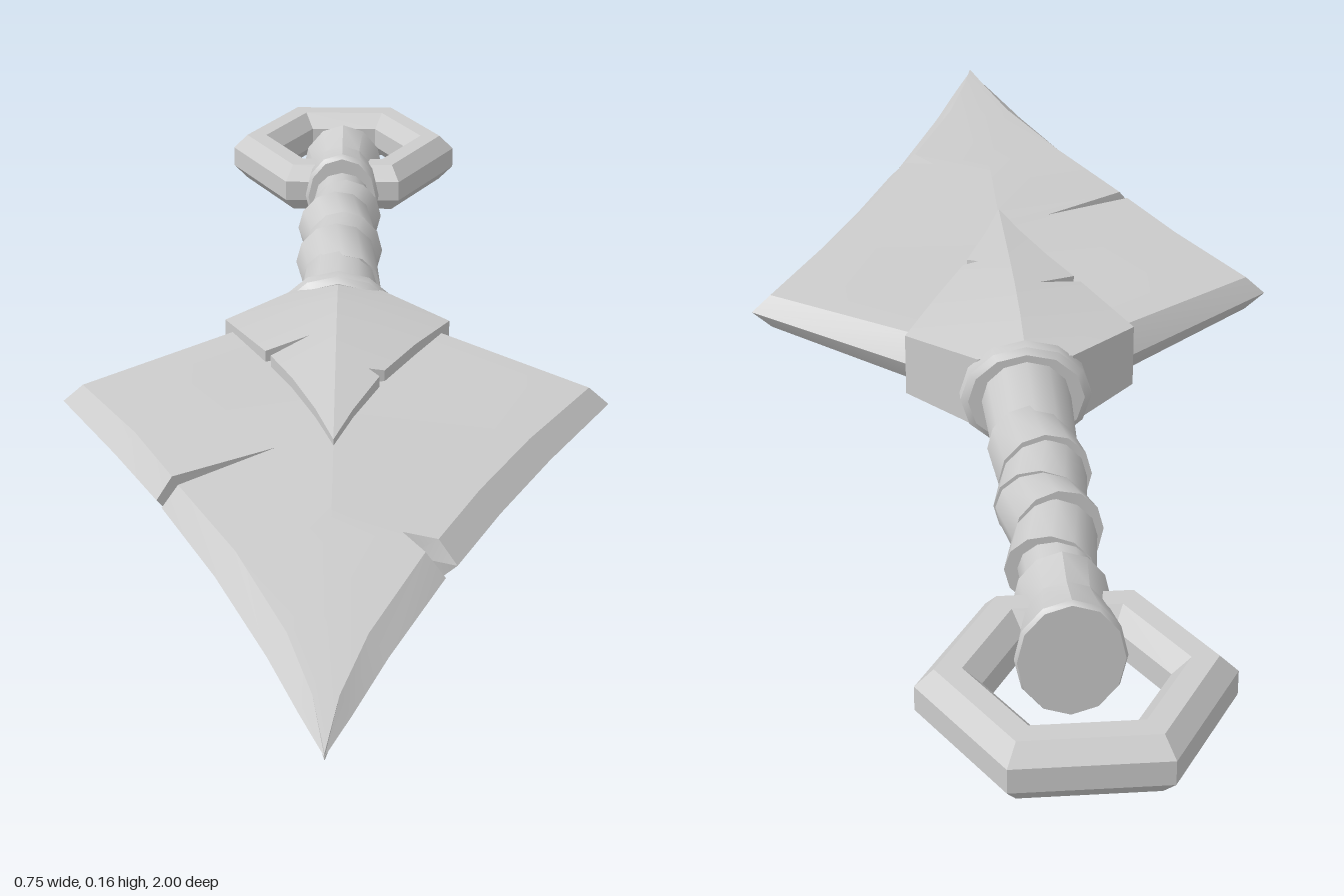
import * as THREE from 'three';
import { toCreasedNormals } from 'three/addons/utils/BufferGeometryUtils.js';

const MID = 0.083; // height of the flat symmetry plane
const material = new THREE.MeshStandardMaterial({ color: 0xcccccc });

function part(name, geometry, crease) {
  const mesh = new THREE.Mesh(toCreasedNormals(geometry, crease), material);
  mesh.name = name;
  return mesh;
}

// Piecewise linear lookup in [position, value] pairs
function lookup(table, p) {
  for (let i = 1; i < table.length; i++) {
    const [a, va] = table[i - 1], [b, vb] = table[i];
    if (p <= b) return va + (vb - va) * THREE.MathUtils.clamp((p - a) / (b - a), 0, 1);
  }
  return table[table.length - 1][1];
}

// Ridged slab, mirrored top to bottom. Each side lists [x, z, z on the ridge, bevel factor] from back to tip.
function slab(leftSide, rightSide, ridge, slope, bevel) {
  const pos = [];
  const tri = (a, b, c, flip) => {
    const area = b.clone().sub(a).cross(c.clone().sub(a)).length();
    if (area > 1e-9) for (const v of flip ? [a, c, b] : [a, b, c]) pos.push(v.x, v.y, v.z);
  };
  [[leftSide, 1], [rightSide, -1]].forEach(([points, side]) => {
    for (const up of [1, -1]) {
      const rows = points.map(([x, z, cz, k = 1]) => {
        const length = Math.hypot(x, cz - z);
        const t = length > 0 ? Math.min(bevel * k / length, 0.5) : 0;
        const ix = x * (1 - t), iz = z + (cz - z) * t;
        return [
          new THREE.Vector3(0, up * lookup(ridge, cz), cz),
          new THREE.Vector3(side * ix, up * Math.max(lookup(ridge, iz) - slope * ix, 0.003), iz),
          new THREE.Vector3(side * x, 0, z),
        ];
      });
      for (let i = 0; i + 1 < rows.length; i++) {
        for (let j = 0; j < 2; j++) {
          const a = rows[i][j], b = rows[i + 1][j], c = rows[i + 1][j + 1], d = rows[i][j + 1];
          tri(a, b, c, side * up < 0);
          tri(a, c, d, side * up < 0);
        }
      }
    }
  });
  const g = new THREE.BufferGeometry();
  g.setAttribute('position', new THREE.Float32BufferAttribute(pos, 3));
  return g;
}

// Turned part along z from [radius, z] pairs, squashed to an oval
function turned(profile, sx = 1, sy = 1, sides = 12) {
  const g = new THREE.LatheGeometry(profile.map(([r, z]) => new THREE.Vector2(r, z)), sides);
  return g.rotateX(Math.PI / 2).scale(sx, sy, 1);
}

export function createModel() {
  const model = new THREE.Group();
  const body = new THREE.Group();
  body.name = 'throwingKnife';
  body.position.y = MID;
  model.add(body);

  // Blade with one nick in each cutting edge
  const back = [[0, -0.135, -0.135], [0.06, -0.135, -0.13], [0.16, -0.052, 0], [0.375, 0.12, 0.15]];
  const tip = [[0.07, 0.79, 0.74], [0.03, 0.91, 0.89], [0, 0.995, 0.995]];
  body.add(part('blade', slab(
    [...back, [0.285, 0.29, 0.25], [0.213, 0.44, 0.37], [0.155, 0.575, 0.47],
      [0.095, 0.55, 0.5, 0.3], [0.14, 0.605, 0.53], ...tip],
    [...back, [0.29, 0.28, 0.22], [0.225, 0.41, 0.29, 0.8], [0.08, 0.333, 0.32, 0.2],
      [0.217, 0.43, 0.35, 0.8], [0.14, 0.605, 0.53], ...tip],
    [[-0.14, 0.045], [0.3, 0.042], [0.6, 0.034], [0.9, 0.019], [1, 0.004]], 0.05, 0.028), 0.35));

  // Raised wedge over the root of the blade, with a crack on either side
  const root = [[0, -0.145, -0.145], [0.065, -0.145, -0.14], [0.16, -0.055, -0.06]];
  body.add(part('bladeRootPlate', slab(
    [...root, [0.11, 0.045, 0.04], [0.067, 0.135, 0.12], [0.045, 0.138, 0.135], [0.06, 0.153, 0.15],
      [0.025, 0.25, 0.24], [0, 0.333, 0.333]],
    [...root, [0.098, 0.072, 0.03], [0.037, 0.048, 0.045], [0.09, 0.088, 0.06],
      [0.058, 0.16, 0.15], [0.025, 0.25, 0.24], [0, 0.333, 0.333]],
    [[-0.145, 0.066], [-0.08, 0.077], [0, 0.079], [0.1, 0.073], [0.333, 0.05]], 0.2, 0), 0.35));

  // Collar between blade and grip
  body.add(part('collar', turned(
    [[0, -0.167], [0.08, -0.167], [0.09, -0.16], [0.09, -0.14], [0.08, -0.132], [0, -0.132]], 1, 0.86), 0.6));

  // Grip core
  body.add(part('grip', turned([[0, -0.67], [0.044, -0.67], [0.053, -0.4], [0.062, -0.15], [0, -0.15]], 1, 0.95), 0.6));

  // Overlapping slanted wraps
  [[-0.33, 0.1, 0.058, 0.12], [-0.405, 0.075, 0.056, -0.16], [-0.47, 0.1, 0.055, 0.2], [-0.55, 0.08, 0.053, -0.18]]
    .forEach(([z, length, r, tilt], i) => {
      const h = length / 2;
      const wrap = part('gripWrap' + (i + 1), turned([[0, -h], [r + 0.004, -h], [r - 0.001, h], [0, h]]), 0.6);
      wrap.position.z = z;
      wrap.rotation.set(tilt * 0.6, tilt, 0);
      body.add(wrap);
    });

  // Flared oval pommel gripping the ring
  body.add(part('pommel', turned(
    [[0, -0.782], [0.064, -0.782], [0.067, -0.775], [0.055, -0.715], [0.06, -0.66], [0.055, -0.652], [0, -0.652]],
    1, 1.2), 0.6));

  // Hexagonal ring with an eight-sided section
  const section = [];
  for (let i = 0; i <= 8; i++) {
    const a = (i + 0.5) * Math.PI / 4;
    section.push(new THREE.Vector2(0.147 + 0.042 * Math.cos(a), 0.042 * Math.sin(a)));
  }
  const ring = part('ring', new THREE.LatheGeometry(section, 6, Math.PI / 2), 0.3);
  ring.position.z = -0.84;
  body.add(ring);

  return model;
}
